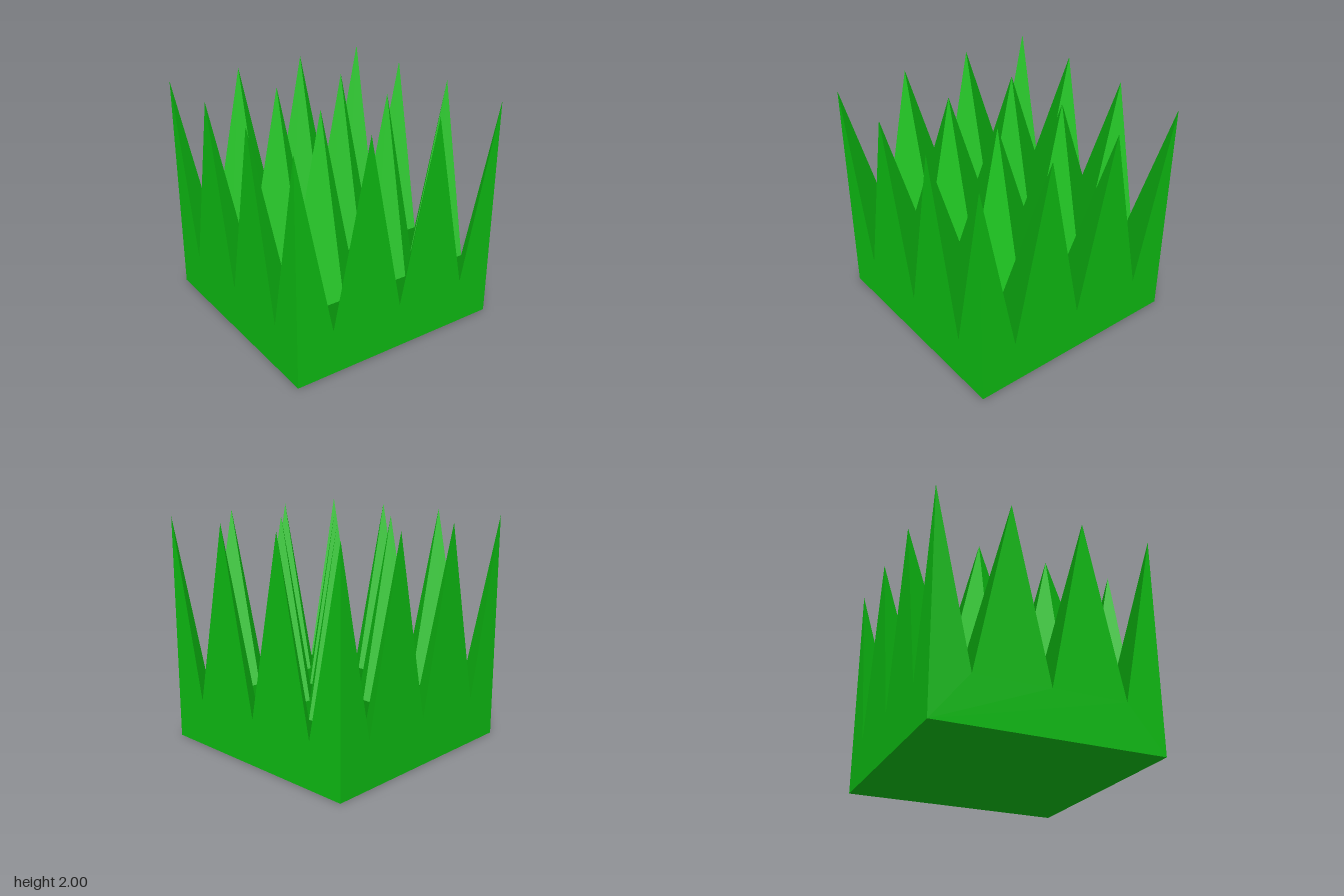
import * as THREE from 'three';

const TIP = 2, VALLEY = 0.41;
const XS = [-1, -0.66, -0.325, 0.01, 0.34, 0.675, 1];
const ZS = [-1, -0.667, -0.333, 0, 0.333, 0.667, 1];

// Spiky top: a grid of cells with a tip at every second crossing
function spikesGeometry() {
  const point = (i, j) => new THREE.Vector3(XS[i], i % 2 || j % 2 ? VALLEY : TIP, ZS[j]);
  const positions = [], normals = [];
  for (let i = 0; i < 6; i++) {
    for (let j = 0; j < 6; j++) {
      const a = point(i, j), b = point(i, j + 1), c = point(i + 1, j + 1), d = point(i + 1, j);
      // one shared normal per cell keeps each cell a single flat tone
      const n = c.clone().sub(a).cross(d.clone().sub(b)).normalize();
      for (const p of [a, b, d, b, c, d]) {
        positions.push(p.x, p.y, p.z);
        normals.push(n.x, n.y, n.z);
      }
    }
  }
  const geo = new THREE.BufferGeometry();
  geo.setAttribute('position', new THREE.Float32BufferAttribute(positions, 3));
  geo.setAttribute('normal', new THREE.Float32BufferAttribute(normals, 3));
  return geo;
}

// Flat zigzag wall, turned about y to face outward
function wallGeometry(us, turn) {
  const shape = new THREE.Shape();
  shape.moveTo(-1, 0);
  shape.lineTo(1, 0);
  for (let i = us.length - 1; i >= 0; i--) shape.lineTo(us[i], i % 2 ? VALLEY : TIP);
  shape.closePath();
  return new THREE.ShapeGeometry(shape).translate(0, 0, 1).rotateY(turn);
}

export function createModel() {
  const group = new THREE.Group();
  group.name = 'grassBlock';
  const material = new THREE.MeshStandardMaterial({ color: 0x0dba12 });
  const add = (name, geo) => {
    const mesh = new THREE.Mesh(geo, material);
    mesh.name = name;
    group.add(mesh);
  };

  add('grassSpikes', spikesGeometry());

  // Four side walls
  const backXs = XS.map((x) => -x).reverse();
  add('frontWall', wallGeometry(XS, 0));
  add('leftWall', wallGeometry(ZS, Math.PI / 2));
  add('backWall', wallGeometry(backXs, Math.PI));
  add('rightWall', wallGeometry(ZS, -Math.PI / 2));

  // Underside
  add('base', new THREE.PlaneGeometry(2, 2).rotateX(Math.PI / 2));
  return group;
}
